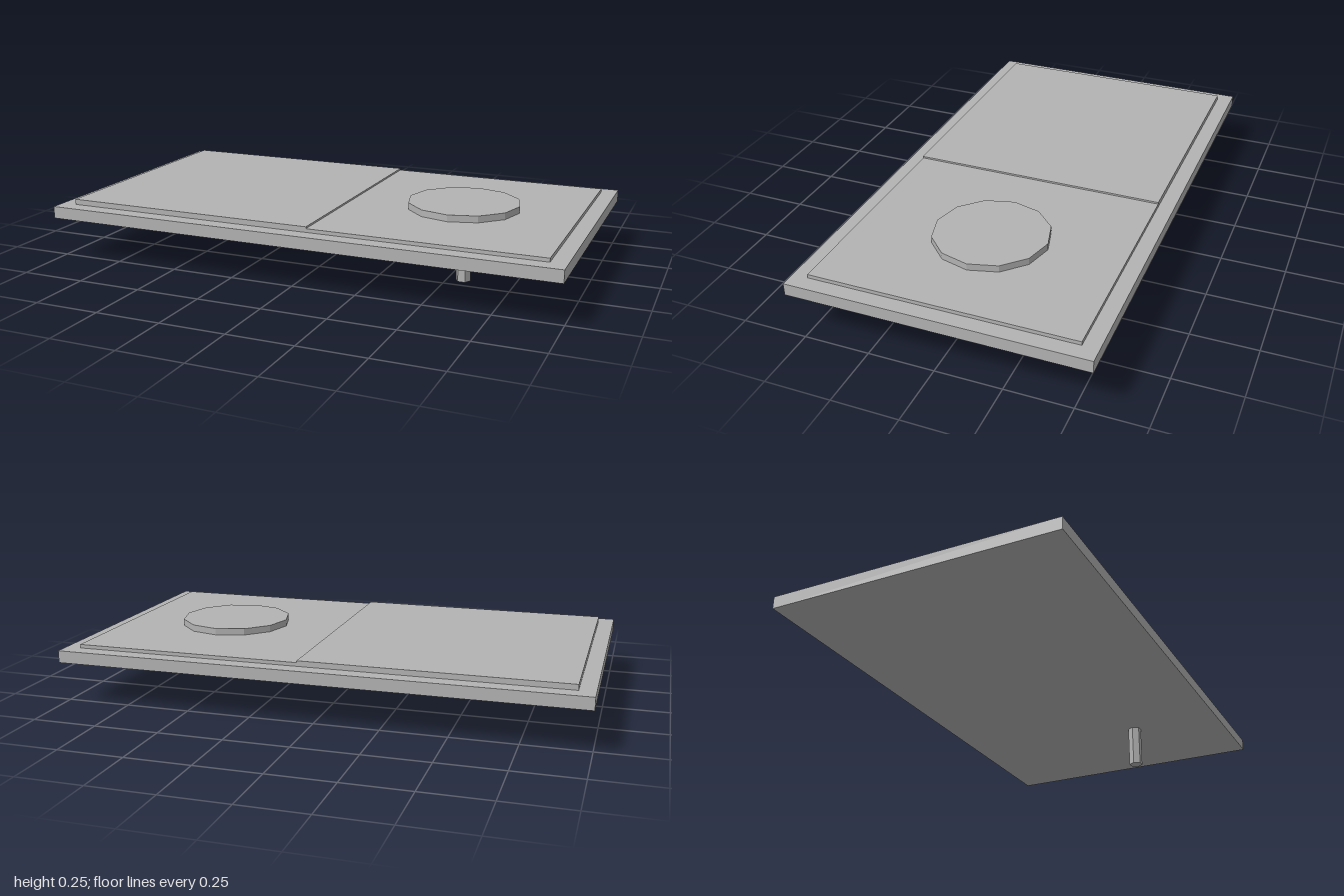
import * as THREE from 'three';

export function createModel() {
  const group = new THREE.Group();
  const grey = new THREE.MeshStandardMaterial({ color: 0xb3b3b3, flatShading: true });
  grey.name = 'grey';

  function add(name, geometry, x, y, z) {
    const mesh = new THREE.Mesh(geometry, grey);
    mesh.name = name;
    mesh.position.set(x, y, z);
    group.add(mesh);
    return mesh;
  }

  // Box given by its x range, y range and depth
  function slab(name, x0, x1, y0, y1, depth) {
    add(name, new THREE.BoxGeometry(x1 - x0, y1 - y0, depth), (x0 + x1) / 2, (y0 + y1) / 2, 0);
  }

  // Base board with two raised panels, the right one (-x) slightly higher
  slab('baseBoard', -1, 1, 0.166, 0.213, 1.12);
  slab('highPanel', -0.94, 0.06, 0.213, 0.234, 1.0);
  slab('lowPanel', 0.06, 0.94, 0.213, 0.227, 1.0);

  // Twelve-sided disc on the low panel
  add('disc', new THREE.CylinderGeometry(0.218, 0.218, 0.026, 12), 0.5, 0.24, 0);

  // Hexagonal peg under the board, corners towards the sides
  const peg = add('peg', new THREE.CylinderGeometry(0.028, 0.028, 0.166, 6), 0.56, 0.083, 0.19);
  peg.rotation.y = Math.PI / 2;

  return group;
}
